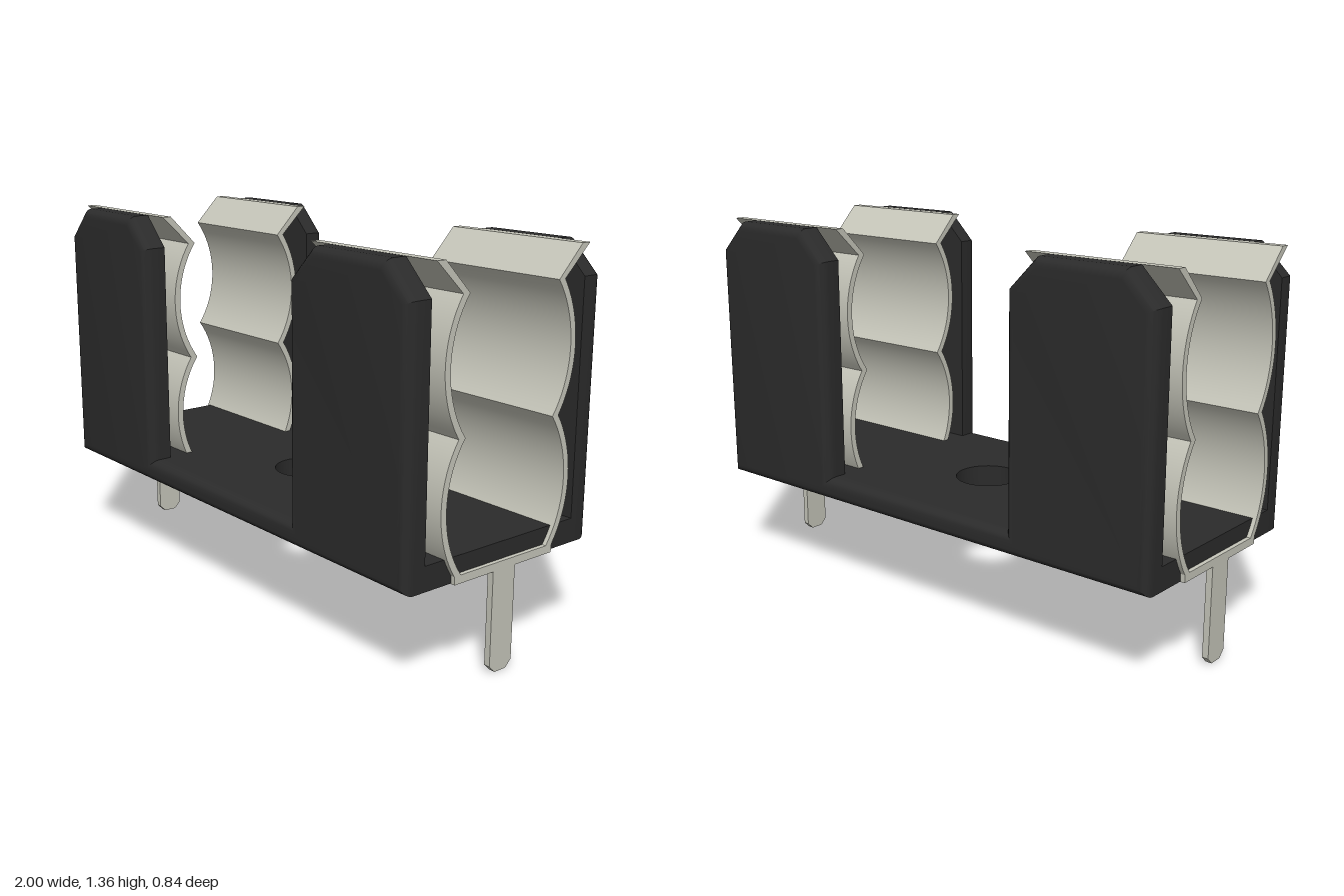
import * as THREE from 'three';
import { toCreasedNormals } from 'three/addons/utils/BufferGeometryUtils.js';

const plastic = new THREE.MeshStandardMaterial({ color: 0x2b2b2b });
const metal = new THREE.MeshStandardMaterial({ color: 0xc6c6ba });

const polygon = pts => new THREE.Shape(pts.map(p => new THREE.Vector2(...p)));

function addMesh(parent, name, geometry, material) {
  const mesh = new THREE.Mesh(geometry, material);
  mesh.name = name;
  parent.add(mesh);
  return mesh;
}

// Side wall with two chamfered towers; only its outer edges are rounded
function sideWallGeometry() {
  const right = [[0.985, 0.355], [0.985, 1.25], [0.875, 1.36], [0.535, 1.36], [0.425, 1.25], [0.425, 0.44]];
  const left = right.map(([x, y]) => [-x, y]).reverse();
  const r = 0.035;
  const geo = new THREE.ExtrudeGeometry(polygon([...right, ...left]), {
    depth: 0.085 - r, bevelThickness: r, bevelSize: r, bevelOffset: -r, bevelSegments: 5,
  });
  // Flatten the inner bevel into a plane
  const pos = geo.attributes.position;
  for (let i = 0; i < pos.count; i++) pos.setZ(i, Math.max(0, pos.getZ(i)));
  geo.computeVertexNormals();
  geo.translate(0, 0, 0.335);
  return toCreasedNormals(geo, 0.5);
}

// Floor between the walls with a round mounting hole
function floorGeometry() {
  const shape = polygon([[-0.985, -0.335], [0.985, -0.335], [0.985, 0.335], [-0.985, 0.335]]);
  shape.holes.push(new THREE.Path().absarc(0, 0, 0.12, 0, Math.PI * 2, true));
  const geo = new THREE.ExtrudeGeometry(shape, { depth: 0.085, bevelEnabled: false, curveSegments: 32 });
  geo.rotateX(-Math.PI / 2).translate(0, 0.355, 0);
  return toCreasedNormals(geo, 0.5);
}

// One edge of the spring arm: two bulges that meet in a kink
function armEdge(radius) {
  const pts = [];
  const half = Math.asin(0.2185 / radius);
  for (const cy of [0.5995, 1.0365]) {
    for (let i = pts.length ? 1 : 0; i <= 18; i++) {
      const a = -half + (2 * half * i) / 18;
      pts.push([-0.108 + radius * Math.cos(a), cy + radius * Math.sin(a)]);
    }
  }
  return pts;
}

// Bent sheet clip: base strip, two bulged arms, flared lips
function clipGeometry() {
  const outer = [[0.222, 0.353], ...armEdge(0.397), [0.333, 1.36]];
  const inner = [[0.298, 1.36], ...armEdge(0.374).reverse()];
  const half = [...outer, ...inner];
  const other = half.map(([x, y]) => [-x, y]).reverse();
  const geo = new THREE.ExtrudeGeometry(polygon([...half, ...other]), { depth: 0.565, bevelEnabled: false });
  geo.rotateY(Math.PI / 2).translate(0.435, 0, 0);
  return toCreasedNormals(geo, 0.4);
}

// Flat solder pin with a chamfered tip
function pinGeometry() {
  const shape = polygon([[-0.05, 0.365], [-0.05, 0.025], [-0.025, 0], [0.025, 0], [0.05, 0.025], [0.05, 0.365]]);
  const geo = new THREE.ExtrudeGeometry(shape, { depth: 0.023, bevelEnabled: false });
  return geo.rotateY(Math.PI / 2).translate(0.977, 0, 0);
}

export function createModel() {
  const model = new THREE.Group();
  model.name = 'fuseHolder';

  const body = new THREE.Group();
  body.name = 'body';
  model.add(body);
  addMesh(body, 'floor', floorGeometry(), plastic);
  const wall = sideWallGeometry();
  addMesh(body, 'frontWall', wall, plastic);
  addMesh(body, 'backWall', wall, plastic).rotation.y = Math.PI;

  const clip = clipGeometry();
  const pin = pinGeometry();
  for (const [name, angle] of [['leftTerminal', 0], ['rightTerminal', Math.PI]]) {
    const terminal = new THREE.Group();
    terminal.name = name;
    terminal.rotation.y = angle;
    addMesh(terminal, 'springClip', clip, metal);
    addMesh(terminal, 'solderPin', pin, metal);
    model.add(terminal);
  }
  return model;
}
